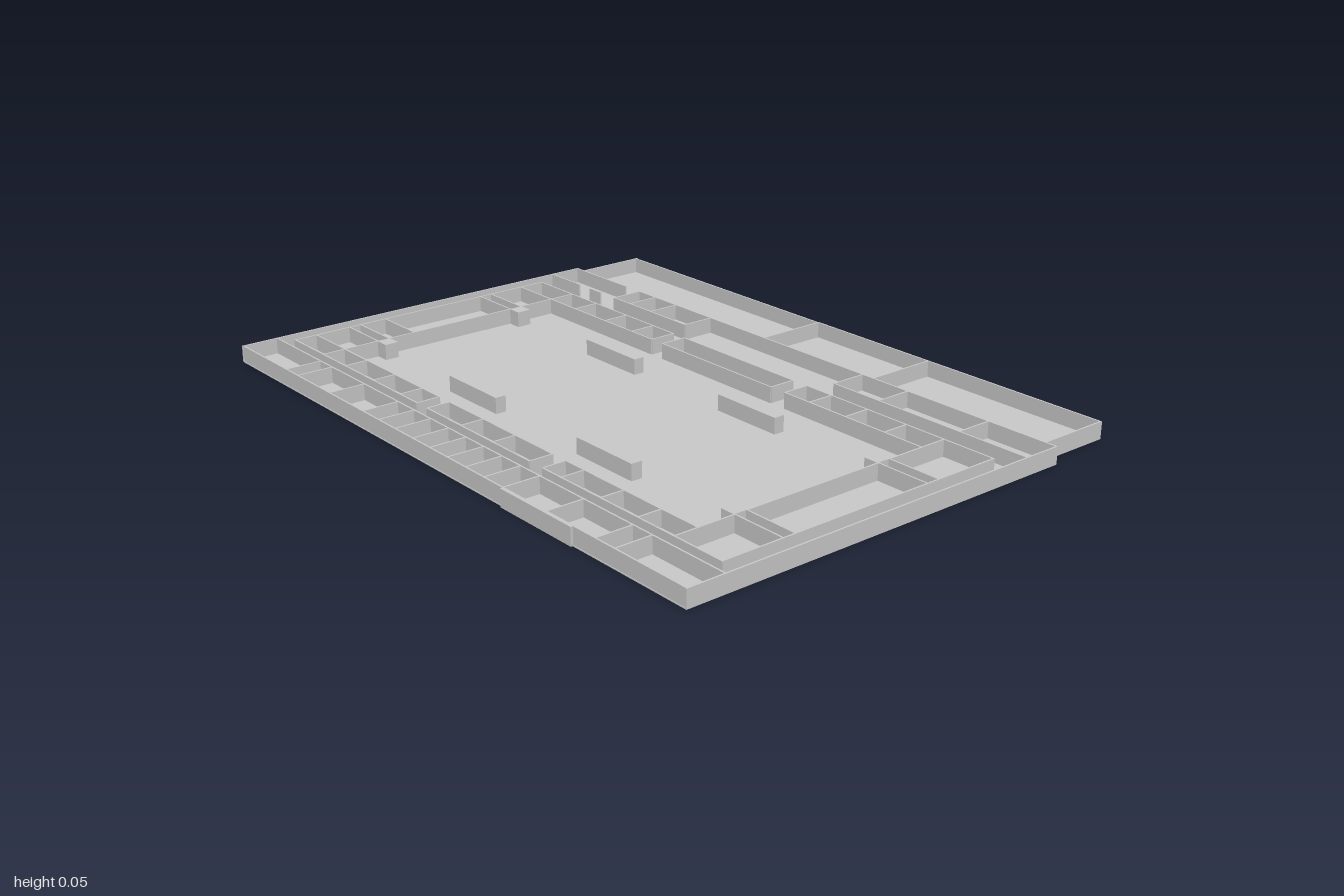
import * as THREE from 'three';

const H = 0.05;      // wall height
const T = 0.005;     // wall thickness
const SLAB = 0.003;  // floor thickness

export function createModel() {
  const model = new THREE.Group();
  const material = new THREE.MeshStandardMaterial({ color: 0xcccccc, flatShading: true });

  const section = (name) => {
    const group = new THREE.Group();
    group.name = name;
    model.add(group);
    return group;
  };
  const box = (parent, name, x0, x1, z0, z1, h = H) => {
    const mesh = new THREE.Mesh(new THREE.BoxGeometry(x1 - x0, h, z1 - z0), material);
    mesh.position.set((x0 + x1) / 2, h / 2, (z0 + z1) / 2);
    mesh.name = name;
    parent.add(mesh);
  };
  // Wall running along x at depth z, and wall running along z at position x
  const wallX = (g, z, x0, x1) => box(g, 'longWall', x0, x1, z - T / 2, z + T / 2);
  const wallZ = (g, x, z0, z1) => box(g, 'crossWall', x - T / 2, x + T / 2, z0, z1);
  // A row of rooms: runs of long wall on both sides, closed by partitions
  const roomRow = (name, z0, z1, runs, partitions) => {
    const g = section(name);
    for (const [x0, x1] of runs) {
      wallX(g, z0, x0, x1);
      wallX(g, z1, x0, x1);
    }
    partitions.forEach((x) => wallZ(g, x, z0, z1));
  };

  // Floor slabs
  const floor = section('floor');
  box(floor, 'mainFloor', -1, 1, -0.505, 0.725, SLAB);
  box(floor, 'backFloor', -0.965, 0.965, -0.73, -0.505, SLAB);

  // Outer side walls
  const outer = section('outerWalls');
  for (const s of [-1, 1]) wallZ(outer, s * (1 - T / 2), -0.505, 0.725);

  // Three large back halls
  const back = section('backHalls');
  wallX(back, -0.725, -0.965, -0.085);
  wallX(back, -0.7275, -0.085, 0.965);
  for (const x of [-0.9625, -0.085, 0.36, 0.9625]) wallZ(back, x, -0.73, -0.505);
  wallX(back, -0.503, -1, -0.74);
  wallX(back, -0.503, -0.67, 1);

  // Rooms along the back corridor
  const backRooms = section('backRooms');
  wallX(backRooms, -0.4, -1, -0.85);
  wallX(backRooms, -0.4, -0.795, -0.74);
  wallX(backRooms, -0.4, -0.67, -0.325);
  wallX(backRooms, -0.39, 0.32, 1);
  for (const x of [-0.67, -0.59, -0.49, -0.325]) wallZ(backRooms, x, -0.505, -0.4);
  for (const x of [0.32, 0.49, 0.775]) wallZ(backRooms, x, -0.505, -0.39);

  // Rows of rooms before and behind the central hall
  const runs = [[-0.95, -0.285], [-0.235, 0.23], [0.285, 0.785]];
  roomRow('rearRingRooms', -0.32, -0.237, runs,
    [-0.785, -0.66, -0.51, -0.38, -0.285, -0.235, 0.23, 0.285, 0.38, 0.515, 0.655, 0.785]);
  roomRow('frontRingRooms', 0.507, 0.578, runs,
    [-0.785, -0.66, -0.51, -0.37, -0.285, -0.235, -0.075, 0.07, 0.23, 0.285, 0.36, 0.515, 0.655, 0.785]);

  // Side rooms with narrow passages ending in solid stubs
  const sides = section('sideRooms');
  for (const s of [-1, 1]) {
    wallZ(sides, s * 0.948, -0.32, 0.58);
    for (const [z0, z1] of [[-0.237, -0.12], [-0.08, 0.357], [0.395, 0.507]]) wallZ(sides, s * 0.785, z0, z1);
    for (const [z0, z1] of [[-0.12, -0.08], [0.357, 0.395]]) {
      const [a, b] = s < 0 ? [-0.95, -0.74] : [0.74, 0.95];
      wallX(sides, z0, a, b);
      wallX(sides, z1, a, b);
      const [c, d] = s < 0 ? [-0.785, -0.74] : [0.74, 0.785];
      box(sides, 'passageStub', c, d, z0, z1);
    }
  }
  wallX(sides, 0.27, -0.95, -0.785);
  wallX(sides, -0.32, 0.785, 0.95);
  wallX(sides, 0.578, 0.785, 0.95);

  // Row of small rooms along the front
  roomRow('frontRooms', 0.612, 0.721, [[-1, 1]],
    [-0.74, -0.675, -0.5, -0.325, -0.245, -0.165, -0.08, 0, 0.08, 0.16, 0.24, 0.32, 0.495, 0.68, 0.75]);
  box(outer, 'frontBay', 0.32, 0.6, 0.7215, 0.73);

  // Four free-standing blocks in the central hall
  const blocks = section('hallBlocks');
  for (const [x0, x1] of [[-0.405, -0.18], [0.18, 0.405]]) {
    box(blocks, 'hallBlock', x0, x1, -0.12, -0.087);
    box(blocks, 'hallBlock', x0, x1, 0.362, 0.395);
  }
  return model;
}
